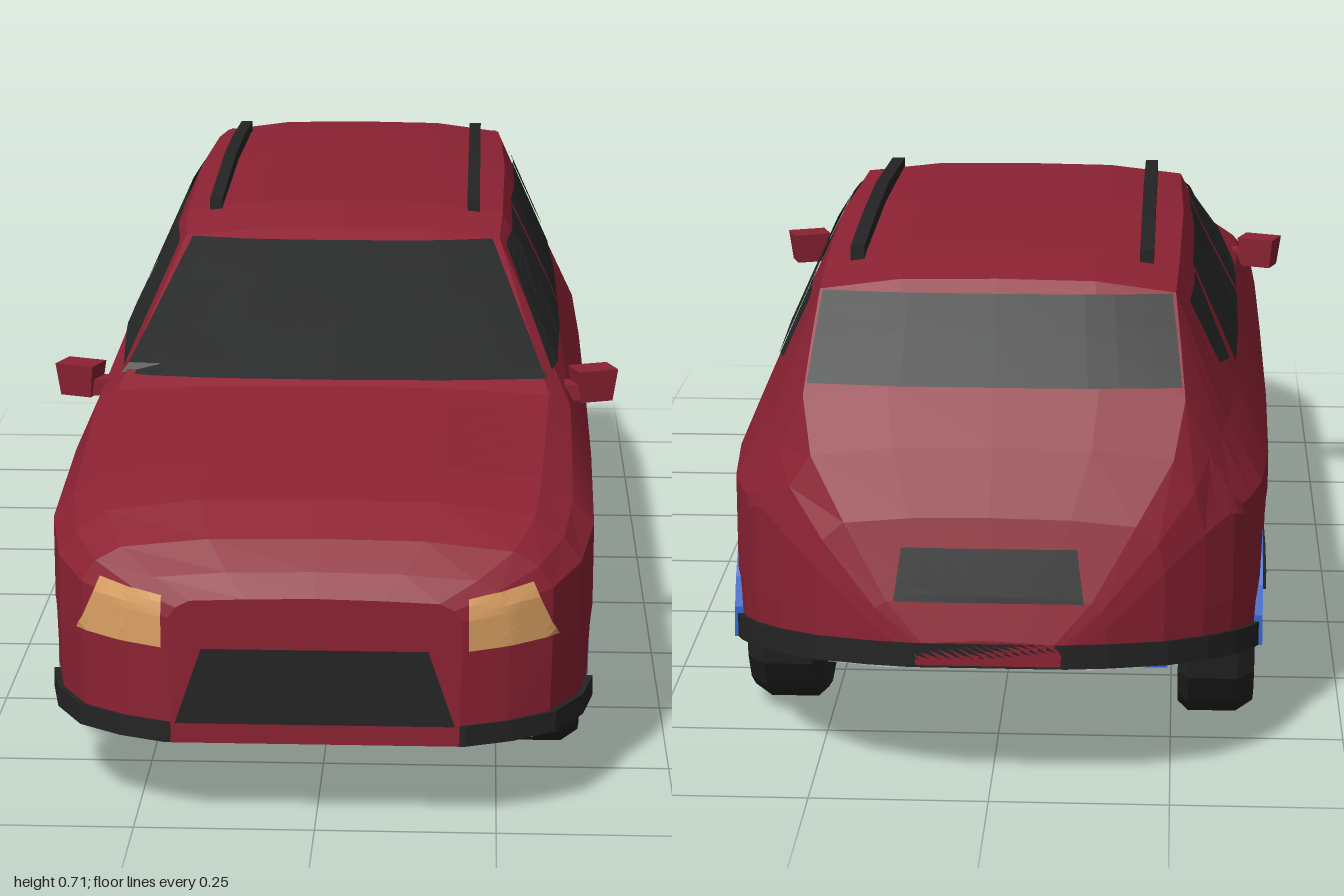
import * as THREE from 'three';

const mat = (name, color, side = THREE.FrontSide) => {
  const m = new THREE.MeshStandardMaterial({ color, side });
  m.name = name;
  return m;
};
const RED = mat('body red', 0x8c2233, THREE.DoubleSide);
const BLACK = mat('trim black', 0x242424);
const GLASS = mat('dark glass', 0x262727, THREE.DoubleSide);
const LAMP = mat('lamp amber', 0xdca164, THREE.DoubleSide);
const BLUE = mat('wheel well blue', 0x2e62c8, THREE.DoubleSide);
const GREY = mat('floor grey', 0xc4c6c8);

// Stations: z, half width, belt y, shoulder x, y, roof edge x, y, centre y
const STATIONS = [
  [0.985, 0.20, 0.300, 0.190, 0.315, 0.17, 0.325, 0.330],
  [0.96, 0.265, 0.315, 0.250, 0.335, 0.22, 0.350, 0.360],
  [0.92, 0.325, 0.330, 0.305, 0.360, 0.27, 0.380, 0.395],
  [0.85, 0.365, 0.345, 0.340, 0.380, 0.30, 0.410, 0.430],
  [0.75, 0.385, 0.370, 0.355, 0.405, 0.31, 0.435, 0.452],
  [0.45, 0.390, 0.385, 0.358, 0.455, 0.325, 0.478, 0.488],
  [0.12, 0.392, 0.385, 0.348, 0.490, 0.25, 0.648, 0.662],
  [0.03, 0.392, 0.385, 0.348, 0.490, 0.255, 0.672, 0.687],
  [-0.3, 0.392, 0.390, 0.348, 0.490, 0.26, 0.684, 0.702],
  [-0.6, 0.388, 0.390, 0.340, 0.490, 0.255, 0.678, 0.696],
  [-0.75, 0.375, 0.390, 0.325, 0.480, 0.25, 0.665, 0.682],
  [-0.8, 0.360, 0.385, 0.315, 0.475, 0.258, 0.602, 0.618],
  [-0.85, 0.335, 0.380, 0.300, 0.460, 0.265, 0.537, 0.552],
  [-0.9, 0.295, 0.360, 0.280, 0.420, 0.25, 0.465, 0.480],
  [-0.95, 0.240, 0.320, 0.230, 0.360, 0.20, 0.385, 0.395],
  [-0.985, 0.160, 0.250, 0.155, 0.275, 0.14, 0.285, 0.290],
  [-1, 0.100, 0.215, 0.095, 0.225, 0.09, 0.230, 0.235],
];
const AXLES = [0.6, -0.6], ARCH = 0.17, HUB_Y = 0.15;

function stationAt(z) {
  let i = 0;
  while (i < STATIONS.length - 2 && z < STATIONS[i + 1][0]) i++;
  const a = STATIONS[i], b = STATIONS[i + 1];
  const t = (z - a[0]) / (b[0] - a[0]);
  return a.map((v, k) => v + (b[k] - v) * t);
}
const rearRise = z => Math.max(0, (-0.77 - z) * 0.19);
function bottomAt(z) {
  let y = z < -0.765 ? 0.155 + rearRise(z) : 0.12;
  for (const c of AXLES) {
    const d = Math.abs(z - c);
    if (d <= ARCH + 1e-6) y = Math.max(y, HUB_Y + Math.sqrt(Math.max(0, ARCH * ARCH - d * d)));
  }
  return y;
}

function flat(geo) {
  const g = geo.index ? geo.toNonIndexed() : geo;
  g.computeVertexNormals();
  return g;
}
function add(parent, name, geo, material) {
  const m = new THREE.Mesh(flat(geo), material);
  m.name = name;
  parent.add(m);
  return m;
}
function meshGeometry(pos, idx) {
  const g = new THREE.BufferGeometry();
  g.setAttribute('position', new THREE.Float32BufferAttribute(pos, 3));
  g.setIndex(idx);
  return g;
}

// Body shell: cross-sections joined along z, with the bottom edge rising over the wheels
function bodyGeometry() {
  const zs = STATIONS.map(s => s[0]);
  for (const c of AXLES) {
    for (let k = 0; k <= 10; k++) zs.push(c + ARCH * Math.cos(k * Math.PI / 10));
    zs.push(c + ARCH + 0.002, c - ARCH - 0.002);
  }
  zs.sort((a, b) => b - a);
  const pos = [], idx = [];
  for (const z of zs) {
    const [, w, belt, xs, ys, xt, ye, yt] = stationAt(z), yb = bottomAt(z);
    const low = Math.min(Math.max(0.25, yb + 0.015), belt);
    const half = [[w * 0.99, yb], [w, Math.max(low, yb)], [w, belt], [xs, ys], [xt, ye], [xt * 0.55, yt - 0.002]];
    const ring = [...half, [0, yt], ...half.slice().reverse().map(([x, y]) => [-x, y])];
    for (const [x, y] of ring) pos.push(x, y, z);
  }
  const n = 13, last = (zs.length - 1) * n;
  for (let i = 0; i < zs.length - 1; i++)
    for (let j = 0; j < n - 1; j++) {
      const a = i * n + j, b = a + 1, c = b + n, d = a + n;
      idx.push(a, d, c, a, c, b);
    }
  for (let j = 1; j < n - 1; j++) idx.push(0, j, j + 1, last, last + j + 1, last + j);
  return meshGeometry(pos, idx);
}

// Thin panel laid on the body: four corners in the plane facing the given axis
function panel(parent, body, name, material, quad, dir, n = 8) {
  const ray = new THREE.Raycaster(), pos = [], idx = [];
  const [A, B, C, D] = quad;
  for (let i = 0; i <= n; i++)
    for (let j = 0; j <= n; j++) {
      const u = i / n, v = j / n;
      const [p, y] = [0, 1].map(k => (A[k] * (1 - u) + B[k] * u) * (1 - v) + (D[k] * (1 - u) + C[k] * u) * v);
      const from = dir.x ? new THREE.Vector3(dir.x * 2, y, p) : new THREE.Vector3(p, y, dir.z * 2);
      ray.set(from, dir.clone().negate());
      const hit = ray.intersectObject(body)[0];
      const q = hit ? hit.point.addScaledVector(hit.face.normal, 0.005) : from.addScaledVector(dir, -1.65);
      pos.push(q.x, q.y, q.z);
      if (i < n && j < n) {
        const a = i * (n + 1) + j, b = a + n + 1;
        idx.push(a, b, b + 1, a, b + 1, a + 1);
      }
    }
  add(parent, name, meshGeometry(pos, idx), material);
}

// Slab with the plan outline of the body between two z values
function slab(parent, name, material, z0, z1, grow, y, h) {
  const zs = [z0, ...STATIONS.map(s => s[0]).filter(z => z < z0 && z > z1), z1];
  const side = zs.map(z => new THREE.Vector2(stationAt(z)[1] + grow, z));
  const shape = new THREE.Shape([...side, ...side.map(p => new THREE.Vector2(-p.x, p.y)).reverse()]);
  const g = new THREE.ExtrudeGeometry(shape, { depth: h, bevelEnabled: false }).rotateX(Math.PI / 2).translate(0, y + h, 0);
  const p = g.attributes.position;
  for (let i = 0; i < p.count; i++) p.setY(i, p.getY(i) + rearRise(p.getZ(i)));
  add(parent, name, g, material);
}

// Profile in (z, y) extruded across x
function sideProfile(parent, name, material, pts, x, width) {
  const shape = new THREE.Shape(pts.map(p => new THREE.Vector2(...p)));
  const g = new THREE.ExtrudeGeometry(shape, { depth: width, bevelEnabled: false });
  add(parent, name, g.rotateY(-Math.PI / 2).translate(x + width / 2, 0, 0), material);
}

const lathe = (pts, n) => new THREE.LatheGeometry(pts.map(p => new THREE.Vector2(...p)), n).rotateZ(-Math.PI / 2);

function wheel(name) {
  const g = new THREE.Group();
  g.name = name;
  add(g, 'tyre', lathe([[0.09, -0.055], [0.135, -0.055], [0.149, -0.04], [0.149, 0.03], [0.132, 0.055],
    [0.1, 0.055], [0.092, 0.035], [0.09, -0.055]], 16), BLACK);
  add(g, 'hub', lathe([[0, 0], [0.03, 0], [0.03, 0.035], [0.02, 0.045], [0, 0.045]], 10), BLACK);
  for (let k = 0; k < 5; k++)
    add(g, 'spoke', new THREE.BoxGeometry(0.018, 0.08, 0.036).translate(0.025, 0.058, 0).rotateX(k * Math.PI * 0.4), BLACK);
  return g;
}

export function createModel() {
  const car = new THREE.Group();
  car.name = 'car';
  const body = add(car, 'bodyShell', bodyGeometry(), RED);
  const FRONT = new THREE.Vector3(0, 0, 1), BACK = new THREE.Vector3(0, 0, -1);

  // Glass, grille and rear plate recess
  panel(car, body, 'windscreen', GLASS, [[-0.32, 0.492], [0.32, 0.492], [0.238, 0.645], [-0.238, 0.645]], FRONT, 12);
  panel(car, body, 'rearWindow', GLASS, [[-0.26, 0.55], [0.26, 0.55], [0.245, 0.662], [-0.245, 0.662]], BACK, 12);
  panel(car, body, 'grille', BLACK, [[0.192, 0.15], [-0.192, 0.15], [-0.155, 0.258], [0.155, 0.258]].reverse().map(([x, y]) => [-x, y]).reverse(), FRONT);
  panel(car, body, 'rearPlateRecess', GLASS, [[-0.13, 0.285], [0.13, 0.285], [0.12, 0.355], [-0.12, 0.355]], BACK);

  for (const s of [1, -1]) {
    const side = s > 0 ? 'left' : 'right', out = new THREE.Vector3(s, 0, 0);
    panel(car, body, side + 'Headlight', LAMP, [[s * 0.208, 0.258], [s * 0.33, 0.262], [s * 0.295, 0.342], [s * 0.208, 0.328]], FRONT);
    panel(car, body, side + 'TailLight', RED, [[-0.83, 0.37], [-0.89, 0.385], [-0.87, 0.44], [-0.85, 0.44]], out, 4);
    panel(car, body, side + 'FrontWindow', GLASS, [[0.385, 0.497], [-0.06, 0.499], [-0.085, 0.66], [0.13, 0.638]], out);
    panel(car, body, side + 'RearDoorWindow', GLASS, [[-0.085, 0.499], [-0.525, 0.505], [-0.515, 0.65], [-0.11, 0.662]], out);
    panel(car, body, side + 'QuarterWindow', GLASS, [[-0.585, 0.525], [-0.665, 0.54], [-0.695, 0.637], [-0.535, 0.643]], out);

    // Door mirror
    const mirror = add(car, side + 'Mirror', new THREE.CylinderGeometry(0.045, 0.036, 0.05, 4).rotateY(Math.PI / 4).scale(1, 1, 0.75), RED);
    mirror.position.set(s * 0.394, 0.47, 0.345);
    mirror.rotation.y = s * 0.35;
    const arm = add(car, side + 'MirrorArm', new THREE.BoxGeometry(0.05, 0.025, 0.035), RED);
    arm.position.set(s * 0.36, 0.46, 0.35);

    // Roof rail
    sideProfile(car, side + 'RoofRail', BLACK,
      [[0.04, 0.67], [-0.64, 0.67], [-0.64, 0.7], [-0.45, 0.71], [-0.25, 0.712], [0.04, 0.692]], s * 0.208, 0.02);

    // Wheels and arch liners
    AXLES.forEach((z, i) => {
      const w = wheel(side + (i ? 'RearWheel' : 'FrontWheel'));
      w.position.set(s * 0.315, 0.149, z + s * 0.015);
      if (s < 0) w.rotation.y = Math.PI;
      car.add(w);
      const liner = new THREE.CylinderGeometry(ARCH - 0.003, ARCH - 0.003, 0.14, 12, 1, true, 0, Math.PI);
      add(car, side + 'ArchLiner', liner.rotateZ(Math.PI / 2).translate(s * 0.31, HUB_Y, z), BLUE);
    });
  }

  // Blue wells between the wheels
  for (const z of AXLES)
    add(car, 'wheelWell', new THREE.BoxGeometry(0.49, 0.2, 0.35).translate(0, 0.216, z), BLUE);

  // Black lower trim and grey floor
  slab(car, 'frontBumperTrim', BLACK, 0.985, 0.772, 0.006, 0.12, 0.03);
  slab(car, 'sillTrim', BLACK, 0.428, -0.428, 0.004, 0.116, 0.03);
  slab(car, 'rearBumperTrim', BLACK, -0.772, -1, 0.006, 0.152, 0.035);
  slab(car, 'frontFloor', GREY, 0.97, 0.77, -0.03, 0.117, 0.02);
  slab(car, 'rearFloor', GREY, -0.74, -0.98, -0.03, 0.148, 0.02);
  add(car, 'frontTray', new THREE.BoxGeometry(0.6, 0.026, 0.1).translate(0, 0.105, 0.82), GREY);
  add(car, 'middleFloor', new THREE.BoxGeometry(0.7, 0.026, 0.81).translate(0, 0.105, 0.01), GREY);

  // Small centre wheels and the bar between them
  for (const z of [0.31, -0.31]) {
    const tyre = add(car, 'centreWheel', lathe([[0.075, -0.035], [0.1, -0.035], [0.11, -0.02], [0.11, 0.02], [0.1, 0.035],
      [0.075, 0.035], [0.075, -0.035]], 16), BLACK);
    const hub = add(car, 'centreHub', new THREE.CylinderGeometry(0.078, 0.078, 0.05, 16).rotateZ(Math.PI / 2), GREY);
    for (const m of [tyre, hub]) m.position.set(0, 0.112, z);
  }
  sideProfile(car, 'centreBar', BLACK, [[0.18, 0.095], [-0.09, 0.095], [-0.155, 0.045], [0.18, 0.045]], 0, 0.09);
  return car;
}
